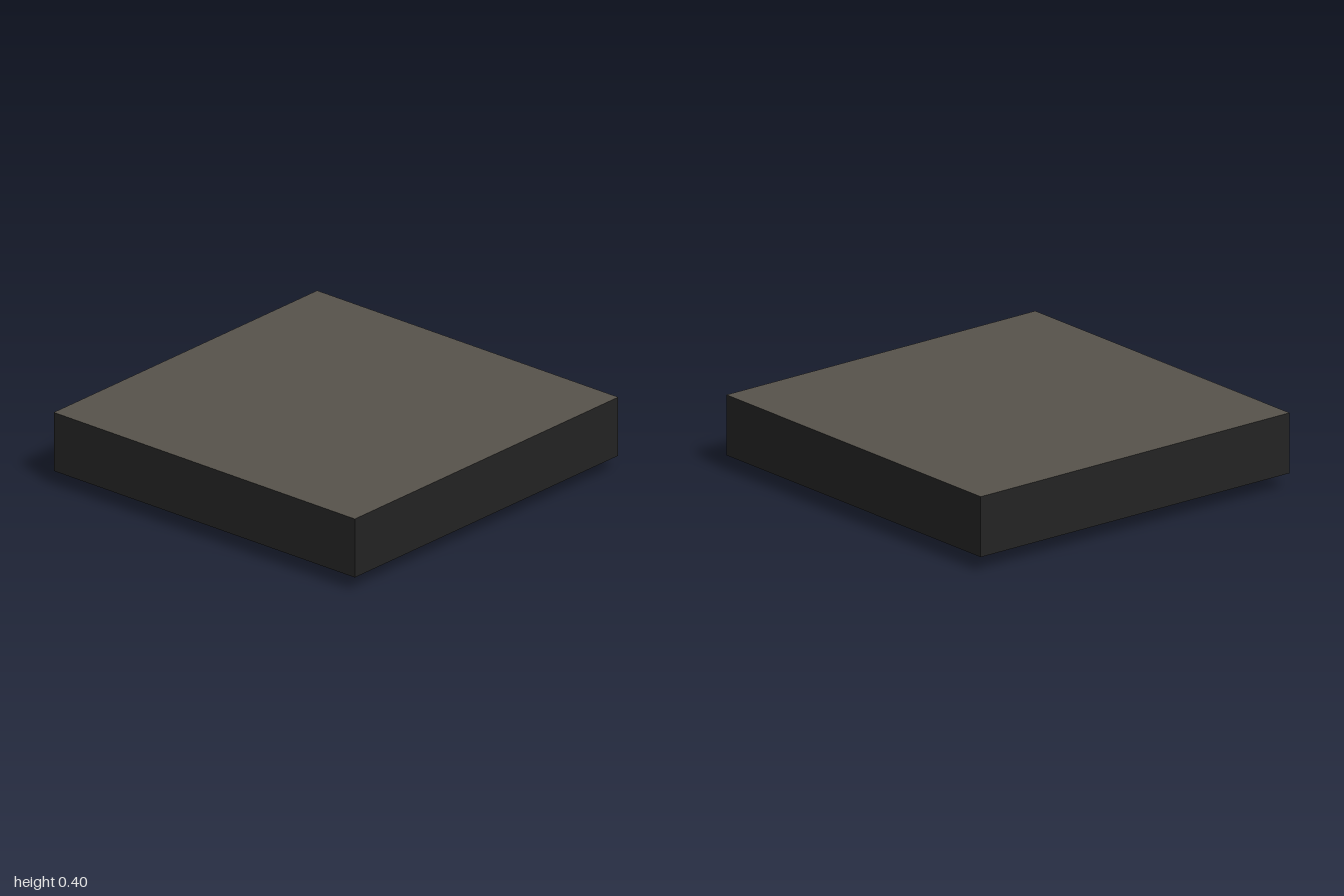
import * as THREE from 'three';

const material = (name, color) => {
  const m = new THREE.MeshStandardMaterial({ color });
  m.name = name;
  return m;
};

export function createModel() {
  const group = new THREE.Group();
  group.name = 'chipPackage';

  const black = material('black casing', 0x232323);
  const warmGrey = material('warm grey top', 0x57534c);
  const solder = material('solder grey', 0xababab);

  // Square casing; only its top face is warm grey
  const casing = new THREE.Mesh(
    new THREE.BoxGeometry(2, 0.32, 2),
    [black, black, warmGrey, black, black, black]
  );
  casing.name = 'casing';
  casing.position.y = 0.24;
  group.add(casing);

  // Solder balls in two square rings on a 0.2 pitch
  const pitch = 0.2, radius = 0.06;
  const ballGeometry = new THREE.SphereGeometry(radius, 20, 14);
  const balls = new THREE.Group();
  balls.name = 'solderBalls';
  for (let i = -4; i <= 4; i++) {
    for (let j = -4; j <= 4; j++) {
      const ring = Math.max(Math.abs(i), Math.abs(j));
      if (ring < 3) continue;
      // The outer ring has gaps on three sides; the +x side is complete
      const gap = ring === 4 && i !== 4 && (Math.abs(i) === 2 || Math.abs(j) === 2);
      if (gap) continue;
      const ball = new THREE.Mesh(ballGeometry, solder);
      ball.name = 'solderBall';
      ball.position.set(i * pitch, radius, j * pitch);
      balls.add(ball);
    }
  }
  group.add(balls);

  return group;
}
